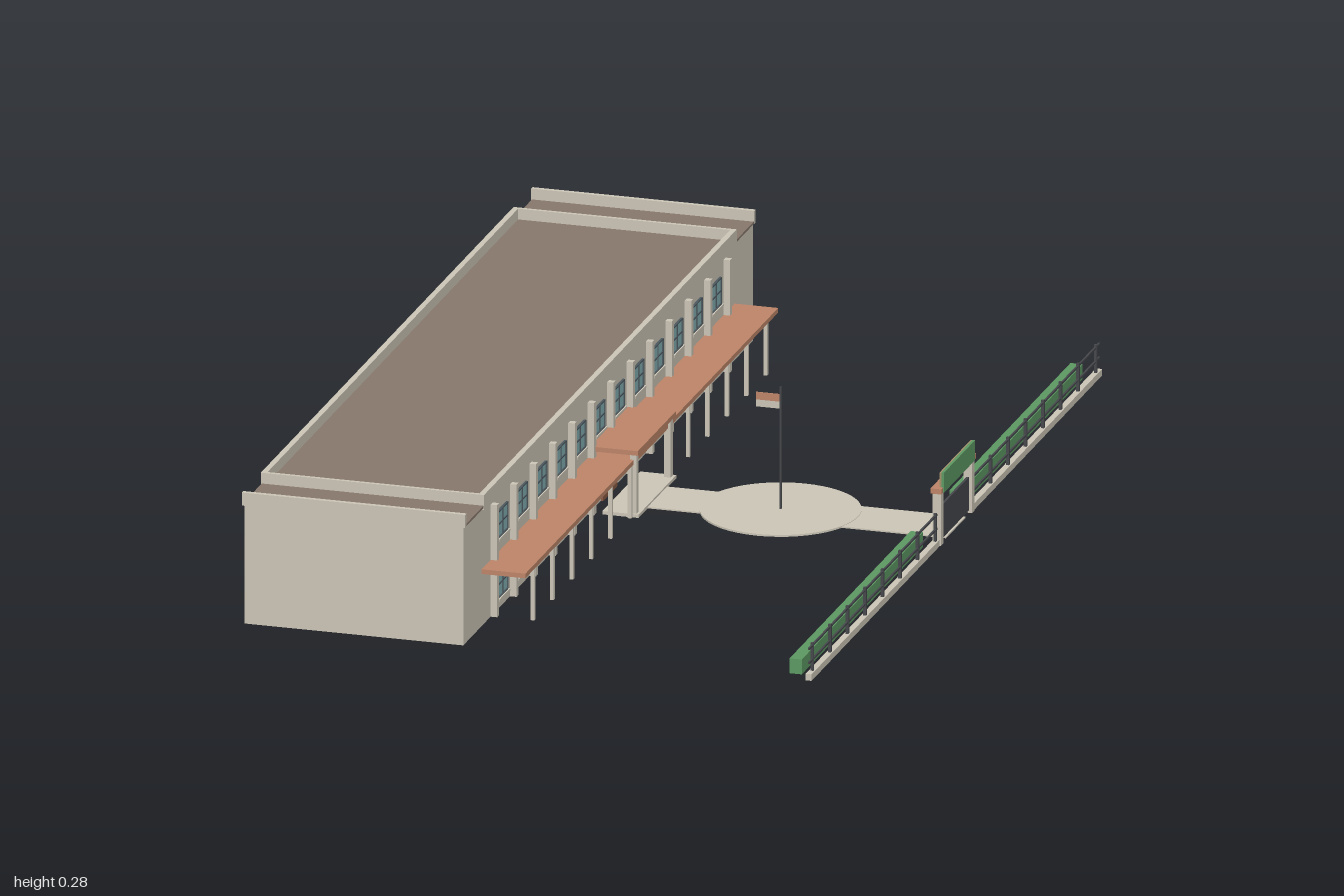
import * as THREE from 'three';

const mat = (name, color) => {
  const m = new THREE.MeshStandardMaterial({ color });
  m.name = name;
  return m;
};

export function createModel() {
  const root = new THREE.Group();
  root.name = 'campus';
  const stone = mat('stone', 0xcbc5b6);
  const roofBrown = mat('roofBrown', 0x87786c);
  const terracotta = mat('terracotta', 0xbd8468);
  const green = mat('green', 0x5c9862);
  const dark = mat('darkMetal', 0x45474b);
  const glass = mat('glass', 0x82aeb2);
  const frameMat = mat('frame', 0x4d5a60);
  const brown = mat('brown', 0x8a5a44);
  const tan = mat('tan', 0xa3906a);

  // Box given by its extents on each axis
  const box = (name, m, x0, x1, y0, y1, z0, z1, parent = root) => {
    const b = new THREE.Mesh(new THREE.BoxGeometry(x1 - x0, y1 - y0, z1 - z0), m);
    b.position.set((x0 + x1) / 2, (y0 + y1) / 2, (z0 + z1) / 2);
    b.name = name;
    parent.add(b);
    return b;
  };
  const sides = [-1, 1];
  const bay = 0.1336;

  // Main block, roof and parapets
  const building = new THREE.Group();
  building.name = 'building';
  root.add(building);
  box('walls', stone, -0.605, -0.14, 0, 0.254, -0.997, 0.997, building);
  box('roof', roofBrown, -0.608, -0.136, 0.254, 0.259, -0.998, 0.998, building);
  box('frontParapet', stone, -0.147, -0.135, 0.25, 0.282, -0.87, 0.87, building);
  box('backParapet', stone, -0.61, -0.598, 0.25, 0.282, -0.87, 0.87, building);
  for (const s of sides) {
    const end = box('endParapet', stone, -0.61, -0.135, 0.254, 0.282, -0.005, 0.005, building);
    end.position.z = s * 0.995;
    const cross = box('crossParapet', stone, -0.6, -0.145, 0.254, 0.282, -0.004, 0.004, building);
    cross.position.z = s * 0.866;
  }
  box('backStrip', brown, -0.61, -0.604, 0.121, 0.13, -0.87, 0.87, building);

  // Pilasters and canopy posts
  for (let k = -6; k <= 6; k++) {
    const z = k * bay;
    box('pilaster', stone, -0.141, -0.126, k === 0 ? 0.12 : 0, 0.241, z - 0.007, z + 0.007, building);
    if (k !== 0) box('canopyPost', stone, -0.056, -0.048, 0, 0.113, z - 0.004, z + 0.004, building);
  }

  // Windows: glass plate, outer frame and glazing bars
  const addWindow = (y, z, trim) => {
    const w = new THREE.Group();
    w.name = 'window';
    w.position.set(-0.14, y, z);
    building.add(w);
    const hw = 0.033, hh = 0.028, t = 0.003;
    box('pane', glass, 0, 0.002, -hh, hh, -hw, hw, w);
    for (const s of sides) {
      box('jamb', trim, 0, 0.005, -hh, hh, s * hw - t / 2, s * hw + t / 2, w);
      box('rail', trim, 0, 0.005, s * hh - t / 2, s * hh + t / 2, -hw, hw, w);
    }
    box('mullion', trim, 0, 0.004, -hh, hh, -t / 2, t / 2, w);
    box('transom', trim, 0, 0.004, -t / 2, t / 2, -hw, hw, w);
    box('sill', stone, 0, 0.008, -hh - 0.006, -hh - 0.001, -hw - 0.004, hw + 0.004, w);
  };
  for (const s of sides) {
    for (let i = 0; i < 6; i++) {
      const z = s * (i + 0.5) * bay;
      addWindow(0.184, z, frameMat);
      if (i > 0) addWindow(0.055, z, i === 3 ? brown : frameMat);
    }
  }

  // Long canopy and entrance porch
  box('canopy', terracotta, -0.14, -0.047, 0.112, 0.122, -0.87, 0.87, building);
  box('porchRoof', terracotta, -0.14, -0.036, 0.134, 0.144, -0.132, 0.132, building);
  box('porchStep', stone, -0.112, -0.035, 0, 0.007, -0.13, 0.13, building);
  box('entranceDoor', brown, -0.141, -0.135, 0, 0.095, -0.05, 0.05, building);
  for (const s of sides) {
    const c = box('porchColumn', stone, -0.055, -0.041, 0, 0.134, -0.007, 0.007, building);
    c.position.z = s * 0.118;
    const door = box('doorGlass', glass, -0.136, -0.133, 0.03, 0.085, -0.017, 0.017, building);
    door.position.z = s * 0.024;
  }

  // Path with round plaza
  box('path', stone, -0.05, 0.6, 0, 0.003, -0.067, 0.067);
  const plaza = new THREE.Mesh(new THREE.CylinderGeometry(0.165, 0.165, 0.004, 48), stone);
  plaza.name = 'plaza';
  plaza.position.set(0.227, 0.002, 0);
  root.add(plaza);

  // Flagpole and striped flag
  const pole = new THREE.Mesh(new THREE.CylinderGeometry(0.0025, 0.0025, 0.266, 10), dark);
  pole.name = 'flagpole';
  pole.position.set(0.227, 0.133, 0);
  root.add(pole);
  box('flagUpper', terracotta, 0.175, 0.226, 0.234, 0.25, -0.001, 0.001);
  box('flagLower', stone, 0.175, 0.226, 0.219, 0.234, -0.001, 0.001);

  // Hedges and railings on both sides of the gate
  for (const s of sides) {
    const hedge = box('hedge', green, 0.545, 0.571, 0, 0.032, -0.417, 0.417);
    hedge.position.z = s * 0.55;
    const kerb = box('fenceKerb', stone, 0.589, 0.602, 0, 0.014, -0.44, 0.44);
    kerb.position.z = s * 0.56;
    for (const y of [0.038, 0.068]) {
      const rail = box('fenceRail', dark, 0.594, 0.598, y - 0.002, y + 0.002, -0.44, 0.44);
      rail.position.z = s * 0.56;
    }
    for (let i = 0; i < 8; i++) {
      const z = s * (0.13 + i * 0.1207);
      box('fencePost', dark, 0.593, 0.599, 0, 0.074, z - 0.003, z + 0.003);
    }
  }

  // Gate: pillars, leaves, lintel and sign board
  const gate = new THREE.Group();
  gate.name = 'gate';
  root.add(gate);
  for (const s of sides) {
    const p = box('gatePillar', stone, 0.586, 0.604, 0, 0.113, -0.009, 0.009, gate);
    p.position.z = s * 0.108;
    const leaf = box('gateLeaf', dark, 0.593, 0.598, 0.006, 0.078, -0.0475, 0.0475, gate);
    leaf.position.z = s * 0.0485;
  }
  box('gateLintel', terracotta, 0.583, 0.606, 0.112, 0.123, -0.12, 0.12, gate);
  box('signBack', tan, 0.598, 0.602, 0.112, 0.154, -0.107, 0.107, gate);
  box('signFace', green, 0.602, 0.608, 0.112, 0.155, -0.107, 0.107, gate);

  return root;
}
